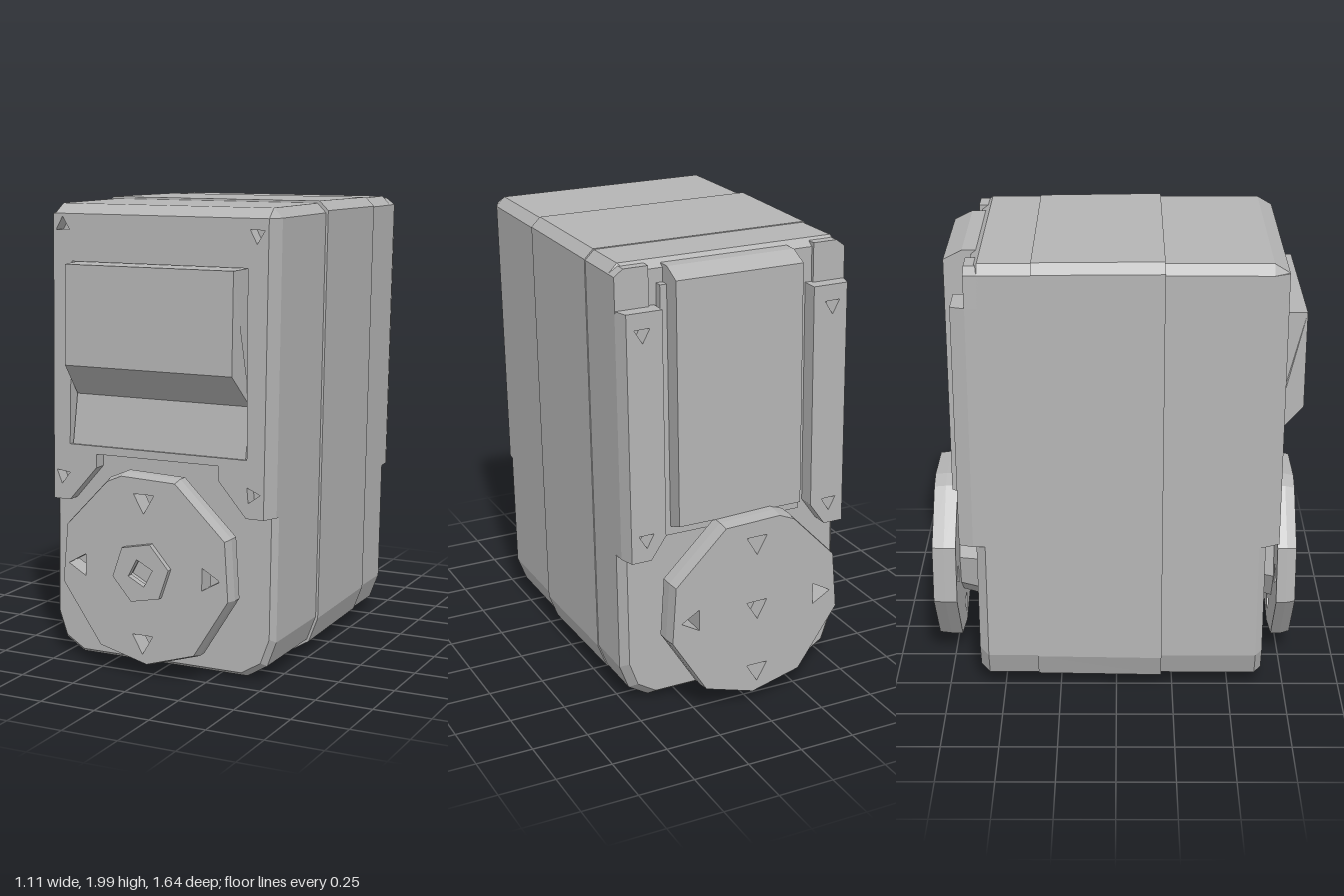
import * as THREE from 'three';

const grey = new THREE.MeshStandardMaterial({ color: 0xb4b4b4 });

export function createModel() {
  const model = new THREE.Group();

  // Every part leans slightly sideways and has flat facets.
  function add(name, geometry) {
    const geo = geometry.index ? geometry.toNonIndexed() : geometry;
    const p = geo.attributes.position;
    for (let i = 0; i < p.count; i++) p.setX(i, p.getX(i) + 0.0175 * (p.getY(i) - 1));
    geo.computeVertexNormals();
    const mesh = new THREE.Mesh(geo, grey);
    mesh.name = name;
    model.add(mesh);
  }

  const ngon = (cx, cy, r, n, turn = 0) => Array.from({ length: n }, (_, i) => {
    const a = turn + (i / n) * Math.PI * 2;
    return [cx + r * Math.cos(a), cy + r * Math.sin(a)];
  });
  const toPoints = (list) => list.map(([x, y]) => new THREE.Vector2(x, y));

  // Plate between two z planes, with holes and an optional rule that shapes its vertices.
  function plate(outline, z0, z1, holes = [], rule = null) {
    const shape = new THREE.Shape(toPoints(outline));
    holes.forEach((h) => shape.holes.push(new THREE.Path(toPoints(h))));
    const geo = new THREE.ExtrudeGeometry(shape, { depth: z1 - z0, steps: 2, bevelEnabled: false });
    geo.translate(0, 0, z0);
    if (rule) {
      const p = geo.attributes.position, v = new THREE.Vector3();
      for (let i = 0; i < p.count; i++) {
        rule(v.fromBufferAttribute(p, i));
        p.setXYZ(i, v.x, v.y, v.z);
      }
    }
    return geo;
  }

  // Case sections: the same outline lofted along z with insets.
  const half = [[0.40, 0.015], [0.49, 0.07], [0.53, 0.18], [0.53, 1.95], [0.49, 1.99]];
  const outline = [...half, ...half.map(([x, y]) => [-x, y]).reverse()];
  function loft(rings) {
    const pos = [], idx = [], n = outline.length;
    rings.forEach(([z, inset]) => outline.forEach(([x, y]) =>
      pos.push(x * (1 - inset / 0.53), 1 + (y - 1) * (1 - inset), z)));
    for (let r = 0; r < rings.length - 1; r++) {
      for (let i = 0; i < n; i++) {
        const j = (i + 1) % n, a = r * n + i, b = r * n + j;
        idx.push(a, b, b + n, a, b + n, a + n);
      }
    }
    const last = (rings.length - 1) * n;
    for (let i = 1; i < n - 1; i++) idx.push(0, i + 1, i, last, last + i, last + i + 1);
    const geo = new THREE.BufferGeometry();
    geo.setAttribute('position', new THREE.Float32BufferAttribute(pos, 3));
    geo.setIndex(idx);
    return geo;
  }
  add('frontCase', loft([[0.2, 0], [0.62, 0], [0.65, 0.02]]));
  add('middleCase', loft([[-0.35, -0.004], [0.2, -0.01]]));
  add('rearCase', loft([[-0.61, 0.03], [-0.57, 0], [-0.35, 0]]));

  // Front cover, with a window, screw holes and a cutout above the output disc
  const coverSide = [[0.29, 0.93], [0.29, 0.87], [0.42, 0.72], [0.53, 0.72], [0.53, 1.95], [0.49, 1.99]];
  const cover = [...coverSide, ...coverSide.map(([x, y]) => [-x, y]).reverse()];
  const coverScrews = [[-0.455, 1.9, -0.5], [0.45, 1.885, 0.5], [-0.455, 0.825, 0.4], [0.445, 0.82, 0.1]]
    .map(([x, y, t]) => ngon(x, y, 0.038, 3, t));
  const windowHole = [[-0.42, 0.965], [0.42, 0.965], [0.41, 1.75], [-0.41, 1.75]];
  add('frontCover', plate(cover, 0.58, 0.71, [windowHole, ...coverScrews], (v) => {
    if (v.z < 0.7) return;
    v.x = THREE.MathUtils.clamp(v.x, -0.5, 0.5);
    v.y = Math.min(v.y, 1.95);
  }));

  // Connector housing: a side profile (z, y) drawn across the window
  const profile = [[0.6, 0.965], [0.7, 0.965], [0.665, 1.18], [0.8, 1.32], [0.8, 1.745], [0.6, 1.75]];
  const housing = new THREE.ExtrudeGeometry(
    new THREE.Shape(toPoints(profile.map(([z, y]) => [-z, y]))), { depth: 0.82, bevelEnabled: false });
  housing.rotateY(Math.PI / 2).translate(-0.41, 0, 0);
  const hp = housing.attributes.position;
  for (let i = 0; i < hp.count; i++) if (hp.getZ(i) > 0.75) hp.setX(i, hp.getX(i) * 0.95);
  add('connectorHousing', housing);

  // Rear centre panel with a sloping top
  add('rearPanel', plate(
    [[-0.27, 0.84], [0.31, 0.84], [0.31, 1.975], [-0.27, 1.975]], -0.73, -0.57, [], (v) => {
      if (v.z > -0.72) return;
      v.y = THREE.MathUtils.clamp(v.y, 0.87, 1.935);
    }));
  add('rearPanelBase', plate([[-0.31, 0.8], [0.34, 0.8], [0.34, 1.9], [-0.31, 1.9]], -0.645, -0.57));

  // Rear rails with screw holes and stepped upper ends
  for (const s of [1, -1]) {
    const side = s > 0 ? 'Left' : 'Right';
    const mirror = (list) => list.map(([x, y]) => [s * x, y]);
    const screws = [ngon(s * 0.44, 1.72, 0.04, 3, 0.5), ngon(s * 0.44, 0.82, 0.04, 3, 0.5)];
    add('rearRail' + side, plate(
      mirror([[0.35, 0.82], [0.42, 0.72], [0.53, 0.72], [0.53, 1.81], [0.35, 1.81]]),
      -0.685, -0.56, screws, (v) => {
        if (v.z < -0.68) v.x = THREE.MathUtils.clamp(v.x, -0.51, 0.51);
      }));
    add('railTop' + side, plate(
      mirror([[0.38, 1.8], [0.53, 1.8], [0.53, 1.95], [0.49, 1.98], [0.38, 1.98]]), -0.625, -0.56));
  }

  // Output discs: faceted plates with triangular holes, each on a hub
  const cx = -0.01, cy = 0.465;
  const disc = [[-0.19, 0.85], [-0.12, 0.88], [0.14, 0.87], [0.38, 0.64], [0.4, 0.38],
    [0.24, 0.12], [0.01, 0.05], [-0.22, 0.11], [-0.41, 0.38], [-0.39, 0.64]];
  const discHoles = [0, 1, 2, 3].map((i) => {
    const a = i * Math.PI / 2;
    return ngon(cx + 0.305 * Math.cos(a), cy + 0.305 * Math.sin(a), 0.056, 3, a + (i === 1 ? Math.PI : 0));
  });
  const taper = (edge, amount) => (v) => {
    const r = Math.hypot(v.x - cx, v.y - cy);
    if (r < 0.37 || Math.abs(v.z - edge) > 0.005) return;
    v.x = cx + (v.x - cx) * amount;
    v.y = cy + (v.y - cy) * amount;
  };
  add('frontDisc', plate(disc, 0.715, 0.8, [...discHoles, ngon(cx, cy, 0.08, 4, 0.3)], taper(0.8, 0.97)));
  add('rearDisc', plate(disc, -0.82, -0.715, [...discHoles, ngon(cx, cy, 0.056, 3, 0.5)], taper(-0.82, 0.985)));
  add('frontBoss', plate(ngon(cx, cy, 0.135, 6, 0.2), 0.795, 0.825, [ngon(cx, cy, 0.06, 4, 0.3)]));

  function hub(name, z, r0, r1, depth) {
    const geo = new THREE.CylinderGeometry(r1, r0, depth, 9);
    geo.rotateX(z > 0 ? Math.PI / 2 : -Math.PI / 2).translate(cx, cy, z);
    add(name, geo);
  }
  hub('frontHub', 0.685, 0.21, 0.25, 0.13);
  hub('rearHub', -0.675, 0.24, 0.2, 0.15);

  return model;
}
